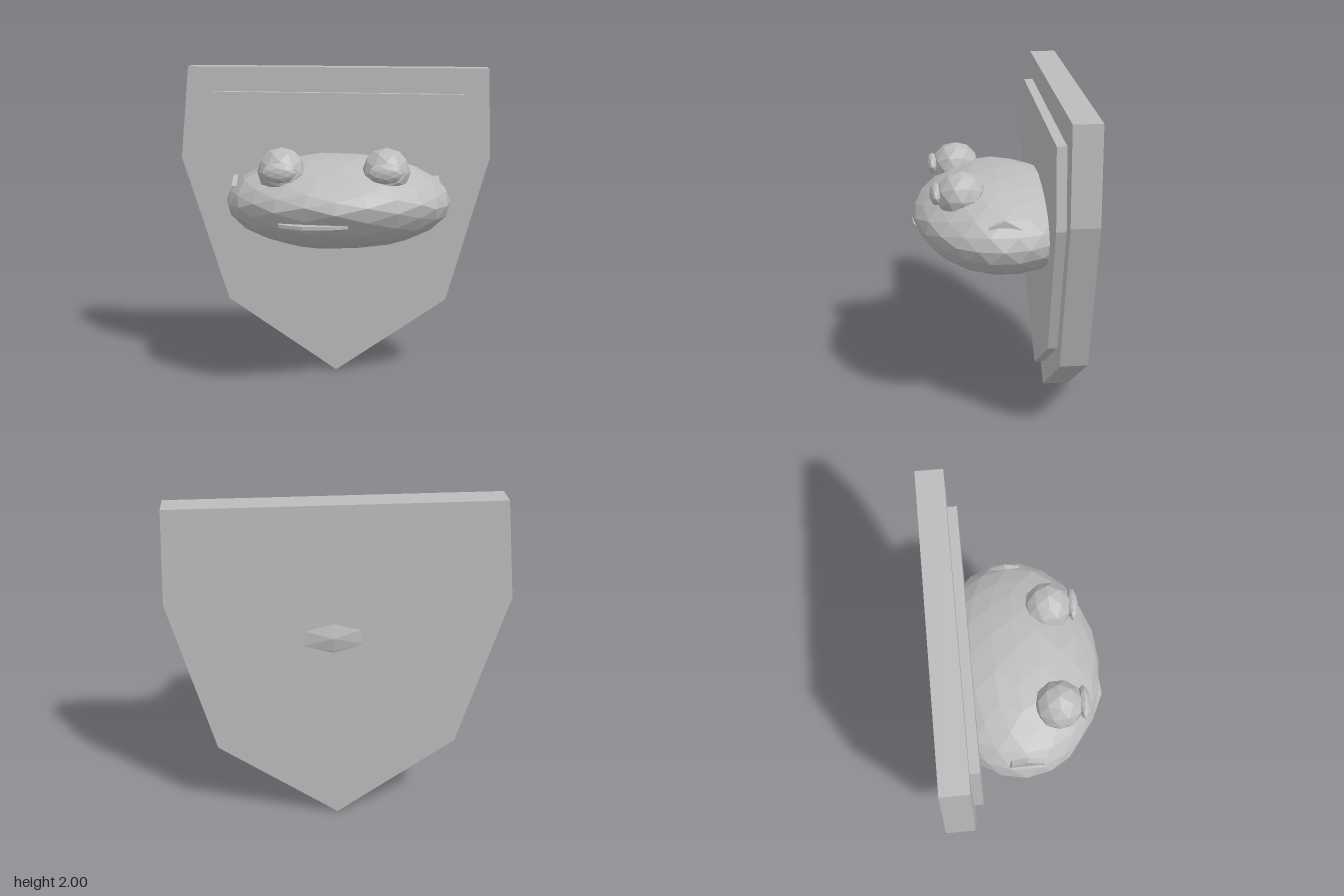
import * as THREE from 'three';

const grey = new THREE.MeshStandardMaterial({ color: 0xbcbcbc });
grey.name = 'plain grey';

function addMesh(parent, name, geometry) {
  const mesh = new THREE.Mesh(geometry, grey);
  mesh.name = name;
  parent.add(mesh);
  return mesh;
}

// flat prism from outline points, standing in the xy plane from z0 to z1
function plate(points, z0, z1) {
  const shape = new THREE.Shape(points.map(([x, y]) => new THREE.Vector2(x, y)));
  const g = new THREE.ExtrudeGeometry(shape, { depth: z1 - z0, bevelEnabled: false });
  return g.translate(0, 0, z0);
}

// faceted ball whose points are moved by a rule
function facetedBall(detail, rule) {
  const g = new THREE.IcosahedronGeometry(1, detail);
  const p = g.attributes.position;
  const v = new THREE.Vector3();
  for (let i = 0; i < p.count; i++) {
    rule(v.fromBufferAttribute(p, i));
    p.setXYZ(i, v.x, v.y, v.z);
  }
  g.computeVertexNormals();
  return g;
}

export function createModel() {
  const model = new THREE.Group();
  model.name = 'mountedFrogHead';

  // shield-shaped wall plaque in two layers
  addMesh(model, 'plaqueBase', plate([
    [-0.935, 2], [-0.99, 1.42], [-0.7, 0.485], [0.005, 0],
    [0.72, 0.49], [0.985, 1.43], [0.965, 1.99],
  ], -0.483, -0.32));
  addMesh(model, 'plaquePanel', plate([
    [-0.785, 1.845], [-0.835, 1.37], [-0.59, 0.55], [0, 0.16],
    [0.605, 0.55], [0.855, 1.365], [0.81, 1.83],
  ], -0.32, -0.263));

  // wide, flattened head with a receding lower jaw and a slightly uneven surface
  addMesh(model, 'head', facetedBall(3, (v) => {
    const { x, y, z } = v;
    const wobble = 1 + 0.018 * Math.sin(7 * x + 3 * y) * Math.cos(6 * z - 4 * y) * (1 - x * x);
    const jaw = y < -0.1 && z > 0 ? 0.95 : 1;
    const brow = y > 0 && z > 0.3 ? 1 - 0.25 * (z - 0.3) : 1;
    v.set(
      0.03 + x * 0.69 * wobble,
      1.2 + y * (y > 0 ? 0.29 * brow : 0.3) * wobble,
      z * 0.505 * jaw * (z > 0 ? wobble : 1) - (y < 0 ? 0.06 * y * y : 0),
    );
  }));

  // thin lip ledge at the front of the mouth
  const lip = plate([
    [-0.36, 0.28], [0.12, 0.28], [0.1, 0.46], [0, 0.495],
    [-0.16, 0.505], [-0.3, 0.44],
  ], 0, 0.02);
  lip.rotateX(Math.PI / 2).translate(0, 1.135, 0);
  addMesh(model, 'lip', lip);

  // eyes with flattened oval pupils
  for (const [side, x] of [['right', -0.3], ['left', 0.32]]) {
    addMesh(model, side + 'Eye', facetedBall(1, (v) => {
      v.multiplyScalar(0.145).add(new THREE.Vector3(x, 1.413, 0.22));
    }));
    addMesh(model, side + 'Pupil', facetedBall(1, (v) => {
      v.set(x - 0.005 + v.x * 0.105, 1.425 + v.y * 0.06, 0.365 + v.z * 0.036);
    }));
  }

  // eardrum plates partly sunk into the sides of the head
  const ear = [[-0.1, -0.03], [0.1, -0.06], [0.11, 0], [0.01, 0.055], [-0.08, 0.02]];
  for (const [side, sign, x] of [['right', -1, -0.605], ['left', 1, 0.635]]) {
    const drum = addMesh(model, side + 'Eardrum', plate(ear, -0.02, 0.01));
    drum.position.set(x, 1.305, 0);
    drum.rotation.y = sign * Math.PI / 2;
    if (sign < 0) drum.rotation.x = 0;
  }

  // small fold behind the left corner of the mouth
  const fold = addMesh(model, 'cheekFold', plate([[-0.06, 0.01], [0.05, -0.035], [0.04, 0.045]], -0.02, 0.01));
  fold.position.set(0.6, 1.275, 0.18);
  fold.rotation.y = 1.25;

  return model;
}
